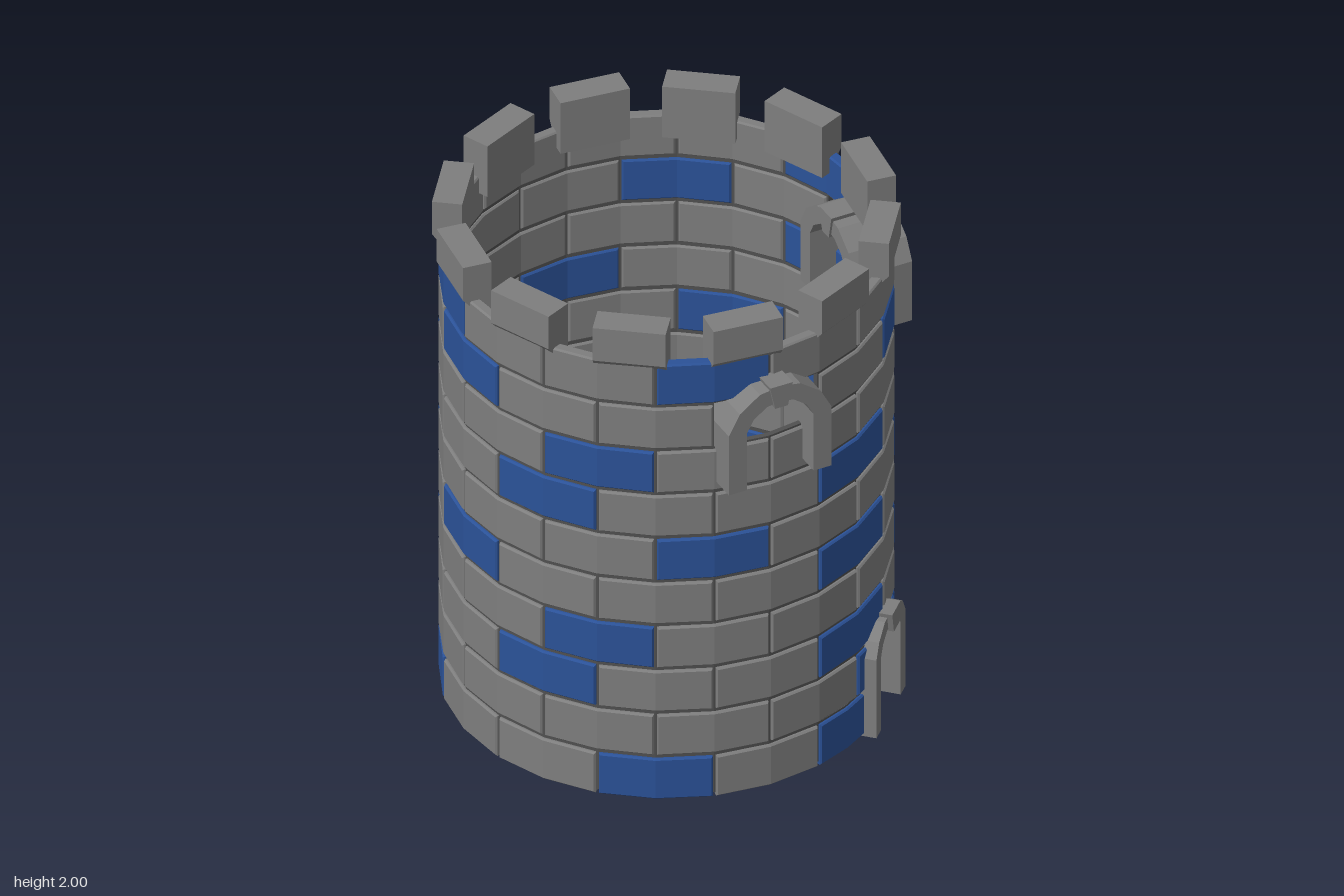
import * as THREE from 'three';
import { mergeGeometries } from 'three/addons/utils/BufferGeometryUtils.js';

const RAD = Math.PI / 180;
const ROW = 0.186;          // height of one course
const ROWS = 10;
const BEVEL = 0.006;

// Azimuths (from +z towards +x) of the blue bricks, course by course
const BLUE = [
  [-30, 30, 150, -120], [45, 75, -165], [-60, 30, 120], [-45, 75, 165, -135],
  [-90, 30, 120], [-15, 75, 135, -135], [-60, 30, 180], [-45, 105, -135],
  [-90, 60, 150], [-15, 105, -105],
];

// Openings: courses they cut and the angle range removed
const OPENINGS = [
  { rows: [0, 1], from: 36, to: 54 },   // door
  { rows: [8], from: -15, to: 15 },     // front window
  { rows: [8], from: 75, to: 105 },     // left window
];

function flat(geometry) {
  const g = geometry.index ? geometry.toNonIndexed() : geometry;
  g.computeVertexNormals();
  return g;
}

// Box bent round the tower axis (angles in degrees), inner and outer rims bevelled
function bentBox(a0, a1, y0, y1, r0, r1, bevel) {
  const g = new THREE.BoxGeometry(1, 1, 1, 2, 1, 3);
  const p = g.attributes.position;
  const radii = [r0, r0 + bevel, r1 - bevel, r1];
  for (let i = 0; i < p.count; i++) {
    const layer = Math.round((p.getZ(i) + 0.5) * 3);
    const inset = layer === 0 || layer === 3 ? bevel : 0;
    const r = radii[layer];
    const span = (a1 - a0) * RAD - (2 * inset) / r;
    const a = ((a0 + a1) / 2) * RAD + p.getX(i) * span;
    const y = (y0 + y1) / 2 + p.getY(i) * (y1 - y0 - 2 * inset);
    p.setXYZ(i, r * Math.sin(a), y, r * Math.cos(a));
  }
  return flat(g);
}

// Parts of an angle span left over once the openings are cut out
function solidSpans(row, a0, a1) {
  let spans = [[a0, a1]];
  for (const o of OPENINGS) {
    if (!o.rows.includes(row)) continue;
    spans = spans.flatMap(([s, e]) => {
      if (e <= o.from || s >= o.to) return [[s, e]];
      return [[s, Math.min(e, o.from)], [Math.max(s, o.to), e]].filter(([u, v]) => v - u > 0.5);
    });
  }
  return spans;
}

function extrude(points, r0, r1) {
  const shape = new THREE.Shape(points.map(([x, y]) => new THREE.Vector2(x, y)));
  const g = new THREE.ExtrudeGeometry(shape, { depth: r1 - r0, bevelEnabled: false });
  return flat(g.translate(0, 0, r0));
}

// Closes a right-hand profile with its mirror image
const mirror = (pts) => pts.map(([x, y]) => [-x, y]).reverse();

export function createModel() {
  const stone = new THREE.MeshStandardMaterial({ color: 0x7e7e7e });
  stone.name = 'grey stone';
  const blue = new THREE.MeshStandardMaterial({ color: 0x2b5298 });
  blue.name = 'blue stone';
  const mortarMat = new THREE.MeshStandardMaterial({ color: 0x505050 });
  mortarMat.name = 'dark mortar';

  const model = new THREE.Group();
  model.name = 'castleTower';
  const tower = new THREE.Group();
  tower.name = 'tower';
  tower.position.set(-0.03, 0, -0.03);
  model.add(tower);

  const add = (name, geometry, material, parent = tower) => {
    const mesh = new THREE.Mesh(geometry, material);
    mesh.name = name;
    parent.add(mesh);
    return mesh;
  };

  // Wall: staggered courses of bevelled bricks over a hidden mortar ring
  for (let row = 0; row < ROWS; row++) {
    const greys = [], blues = [], joints = [];
    const y = row * ROW;
    const foot = row === 0 ? 0.02 : y;
    const top = row === ROWS - 1 ? y + 0.165 : y + ROW;
    for (let i = 0; i < 12; i++) {
      const centre = -180 + (row % 2 ? 15 : 30) + i * 30;
      const list = BLUE[row].includes(centre) ? blues : greys;
      for (const [s, e] of solidSpans(row, centre - 15, centre + 15)) {
        list.push(bentBox(s + 0.4, e - 0.4, y + 0.008, y + 0.178, 0.758, 0.8, BEVEL));
        joints.push(bentBox(s, e, foot, top, 0.768, 0.788, 0));
      }
    }
    add(`greyBricks${row + 1}`, mergeGeometries(greys), stone);
    add(`blueBricks${row + 1}`, mergeGeometries(blues), blue);
    add(`mortar${row + 1}`, mergeGeometries(joints), mortarMat);
  }

  // Battlements: blocks chamfered outside and reaching lower on the inside
  const merlonProfile = [[-0.053, 2], [-0.053, 1.862], [-0.025, 1.83], [0.01, 1.785], [0.055, 1.785], [0.055, 2]];
  const merlonGeo = extrude(merlonProfile, -0.13, 0.13);
  merlonGeo.rotateY(Math.PI / 2).translate(0, 0, 0.759);
  for (let i = 0; i < 12; i++) {
    add('merlon', merlonGeo, stone).rotation.y = (23.5 + i * 30) * RAD;
  }

  // Stone arch with a proud keystone
  function arch(name, azimuth, base, outer, inner, r0, r1, key) {
    const group = new THREE.Group();
    group.name = name;
    group.position.y = base;
    group.rotation.y = azimuth * RAD;
    const outline = [
      ...outer, ...mirror(outer.slice(0, -1)),
      ...inner.map(([x, y]) => [-x, y]), ...inner.slice(0, -1).reverse(),
    ];
    add('archFrame', extrude(outline, r0, r1), stone, group);
    const half = [[key.bottom, key.y0], [key.top, key.y1]];
    add('keystone', extrude([...half, ...mirror(half)], r0 - 0.008, r1 + key.proud), stone, group);
    tower.add(group);
  }

  const windowOuter = [[0.203, 0], [0.203, 0.25], [0.16, 0.33], [0.08, 0.388], [0, 0.4]];
  const windowInner = [[0.132, 0], [0.132, 0.24], [0.105, 0.29], [0.052, 0.328], [0, 0.336]];
  const windowKey = { bottom: 0.025, top: 0.045, y0: 0.318, y1: 0.41, proud: 0.01 };
  arch('frontWindow', 0.2, 1.345, windowOuter, windowInner, 0.638, 0.867, windowKey);
  arch('leftWindow', 90.5, 1.345, windowOuter, windowInner, 0.638, 0.867, windowKey);

  const doorOuter = [[0.17, 0], [0.17, 0.33], [0.138, 0.385], [0.07, 0.428], [0, 0.433]];
  const doorInner = [[0.115, 0], [0.115, 0.31], [0.092, 0.348], [0.045, 0.375], [0, 0.38]];
  const doorKey = { bottom: 0.028, top: 0.048, y0: 0.365, y1: 0.447, proud: 0.02 };
  arch('doorway', 45.4, 0, doorOuter, doorInner, 0.62, 0.825, doorKey);

  return model;
}
